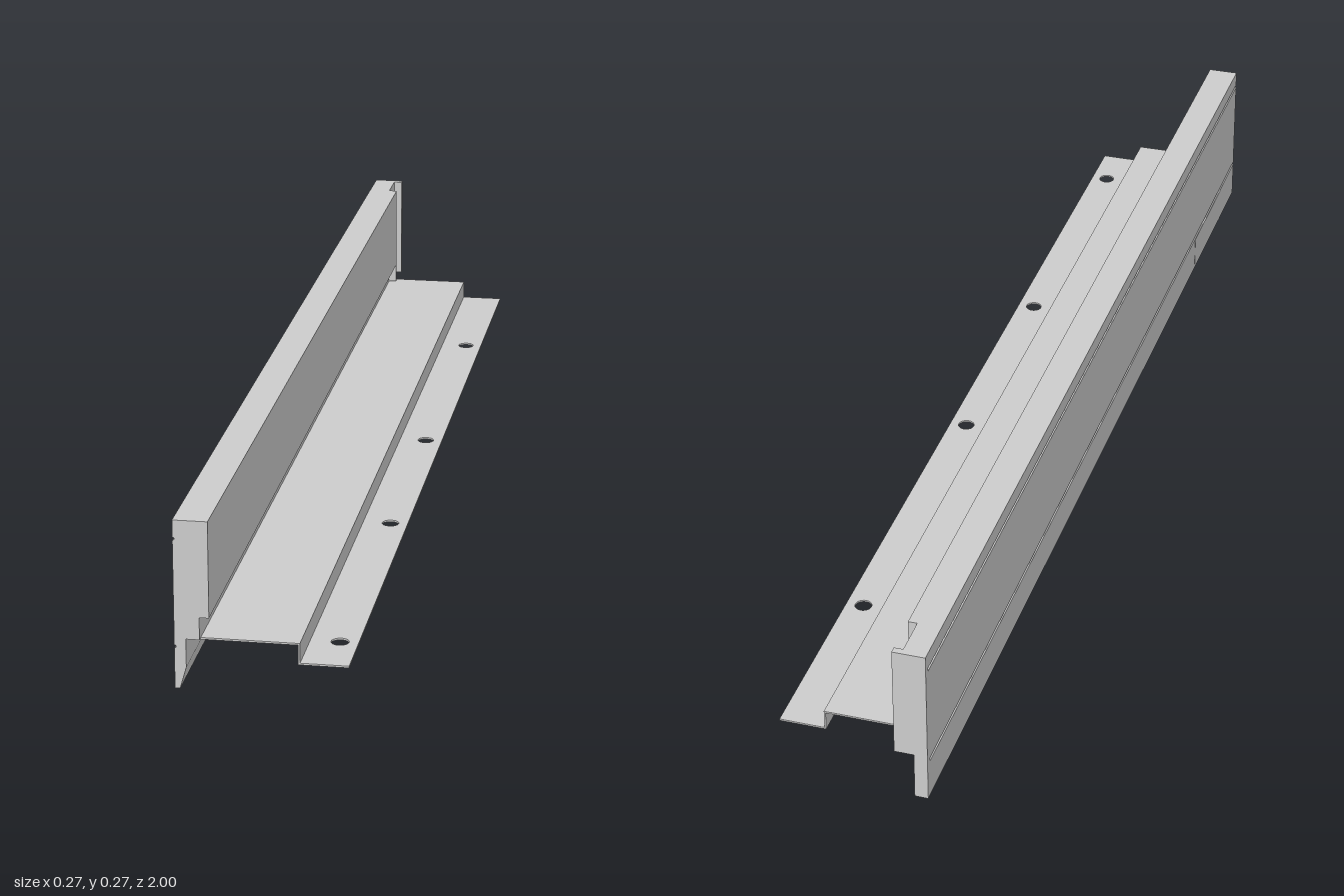
import * as THREE from 'three';

export function createModel() {
  const group = new THREE.Group();
  const grey = new THREE.MeshStandardMaterial({ color: 0xcccccc, flatShading: true });

  const add = (name, geometry) => {
    const mesh = new THREE.Mesh(geometry, grey);
    mesh.name = name;
    group.add(mesh);
    return mesh;
  };

  const toShape = (points) => new THREE.Shape(points.map(([x, y]) => new THREE.Vector2(x, y)));

  // Extrudes an x-y outline from z0 to z1
  const profile = (name, points, z0, z1) => {
    const geometry = new THREE.ExtrudeGeometry(toShape(points), { depth: z1 - z0, bevelEnabled: false });
    return add(name, geometry.translate(0, 0, z0));
  };

  const box = (name, x0, x1, y0, y1, z0, z1) =>
    add(name, new THREE.BoxGeometry(x1 - x0, y1 - y0, z1 - z0)
      .translate((x0 + x1) / 2, (y0 + y1) / 2, (z0 + z1) / 2));

  const outer = -0.133, inner = -0.079, neck = -0.094, skirt = -0.115;
  const top = 0.272, step = 0.117, deck = 0.081, t = 0.003;

  // Wall core with tapered skirt and two shallow grooves in its outer face
  const groove = (y) => [
    [outer, y - 0.003], [outer + 0.003, y - 0.001],
    [outer + 0.003, y + 0.001], [outer, y + 0.003],
  ];
  profile('wallCore', [
    [outer, 0], [-0.125, 0], [skirt, 0.035], [skirt, deck], [neck, deck], [neck, top],
    [outer, top], ...groove(0.242).reverse(), ...groove(0.068).reverse(),
  ], -0.99, 1);

  // Thicker inner face, stopping short of the back end
  box('innerWall', neck, inner, step, top, -0.92, 1);

  // Lower strip under the inner face at the back end
  box('innerWallEndStrip', neck, inner, 0.083, step, -0.92, -0.915);

  // End flange: wide at the top, narrow beside the skirt
  profile('endFlange', [
    [outer, 0], [-0.111, 0], [-0.111, deck], [inner, deck], [inner, top], [outer, top],
  ], -1, -0.988);
  box('endFlangeFoot', outer, -0.111, 0, 0.02, -0.99, -0.97);

  // Stepped tray
  const trayBack = -0.937, trayFront = 0.99;
  profile('tray', [
    [skirt, deck - t], [0.055, deck - t], [0.055, 0.046], [0.058, 0.046],
    [0.058, deck], [skirt, deck],
  ], trayBack, trayFront);

  // Mounting lip, drawn in plan (shape y = -z) with four round holes
  const lip = toShape([
    [0.058, -trayFront], [0.133, -trayFront], [0.133, -trayBack], [0.058, -trayBack],
  ]);
  for (const z of [-0.614, -0.047, 0.379, 0.898]) {
    lip.holes.push(new THREE.Path().absarc(0.104, -z, 0.014, 0, Math.PI * 2, true));
  }
  add('mountingLip', new THREE.ExtrudeGeometry(lip, { depth: t, bevelEnabled: false, curveSegments: 24 })
    .rotateX(-Math.PI / 2).translate(0, 0.046, 0));

  // Slim insert panel on the lower outer face
  box('insertPanel', outer - 0.0005, outer + 0.001, 0.001, 0.064, 0.686, 0.89);

  return group;
}
